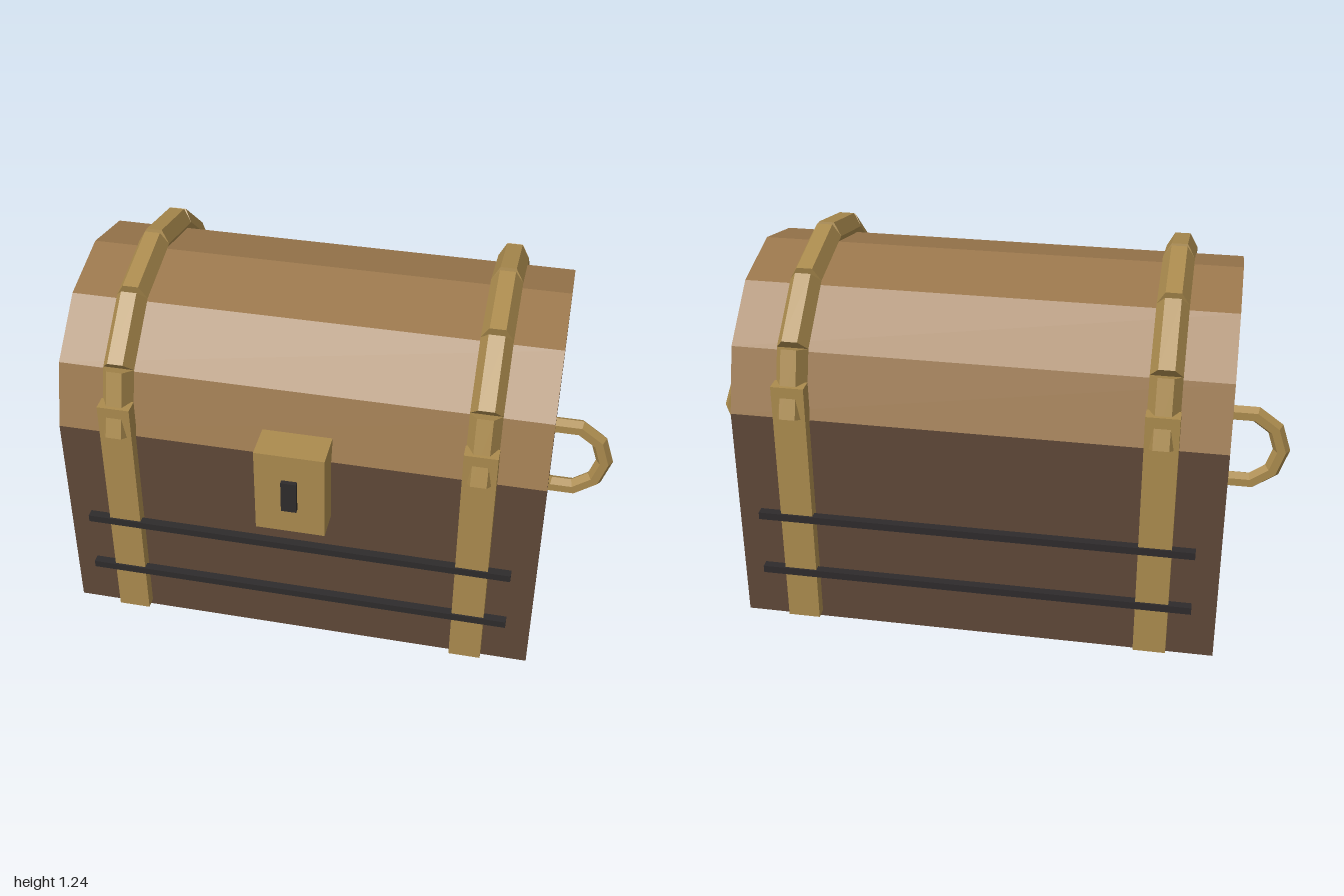
import * as THREE from 'three';

const flat = (name, color) => new THREE.MeshStandardMaterial({ name, color, flatShading: true });

export function createModel() {
  const chest = new THREE.Group();
  chest.name = 'chest';
  const darkWood = flat('dark wood', 0x5f4838);
  const lightWood = flat('light wood', 0x9a774c);
  const brass = flat('brass', 0xab8b4e);
  const iron = flat('iron', 0x2e2b2c);
  const midZ = -0.025; // depth centre of the chest body

  const add = (name, geometry, material, x = 0, y = 0, z = 0) => {
    const mesh = new THREE.Mesh(geometry, material);
    mesh.name = name;
    mesh.position.set(x, y, z);
    chest.add(mesh);
    return mesh;
  };
  const box = (name, material, w, h, d, x, y, z) =>
    add(name, new THREE.BoxGeometry(w, h, d), material, x, y, z);

  // Points of a half ellipse in six steps, from front to back
  const arch = (rz, ry) => Array.from({ length: 7 }, (_, i) => {
    const a = (i * Math.PI) / 6;
    return new THREE.Vector2(rz * Math.cos(a), ry * Math.sin(a));
  });

  // Body and faceted barrel lid
  box('body', darkWood, 1.58, 0.76, 0.95, 0, 0.38, midZ);
  const lid = new THREE.ExtrudeGeometry(new THREE.Shape(arch(0.475, 0.42)), { depth: 1.58, bevelEnabled: false });
  lid.translate(0, 0, -0.79).rotateY(Math.PI / 2);
  add('lid', lid, lightWood, 0, 0.76, midZ);

  const band = arch(0.493, 0.425);
  for (const side of [-1, 1]) {
    const x = side * 0.583;

    // Hexagonal bars that follow the lid
    for (let i = 0; i < 6; i++) {
      const a = band[i], b = band[i + 1];
      const bar = new THREE.CylinderGeometry(0.051, 0.051, a.distanceTo(b), 6);
      bar.rotateY(Math.PI / 2).rotateX(Math.atan2(b.x - a.x, b.y - a.y));
      add('lidBand', bar, brass, x, 0.775 + (a.y + b.y) / 2, midZ + (a.x + b.x) / 2);
    }

    // Upright straps, front and back
    for (const face of [-1, 1]) {
      box('strap', brass, 0.106, 0.868, 0.05, x, 0.456, midZ + face * 0.49);
    }

    // Ring handle, half sunk into the end of the body
    add('handle', new THREE.TorusGeometry(0.135, 0.029, 6, 10), brass, side * 0.833, 0.528, midZ)
      .rotation.y = side < 0 ? Math.PI : 0;
  }

  // Iron rods, front and back
  for (const face of [-1, 1]) {
    for (const y of [0.202, 0.412]) {
      box('rod', iron, 1.42, 0.025, 0.028, 0, y, midZ + face * 0.507);
    }
  }

  // Lock plate and keyhole
  box('lock', brass, 0.226, 0.305, 0.12, 0, 0.688, 0.49);
  box('keyhole', iron, 0.05, 0.114, 0.025, 0, 0.688, 0.5525);

  return chest;
}
